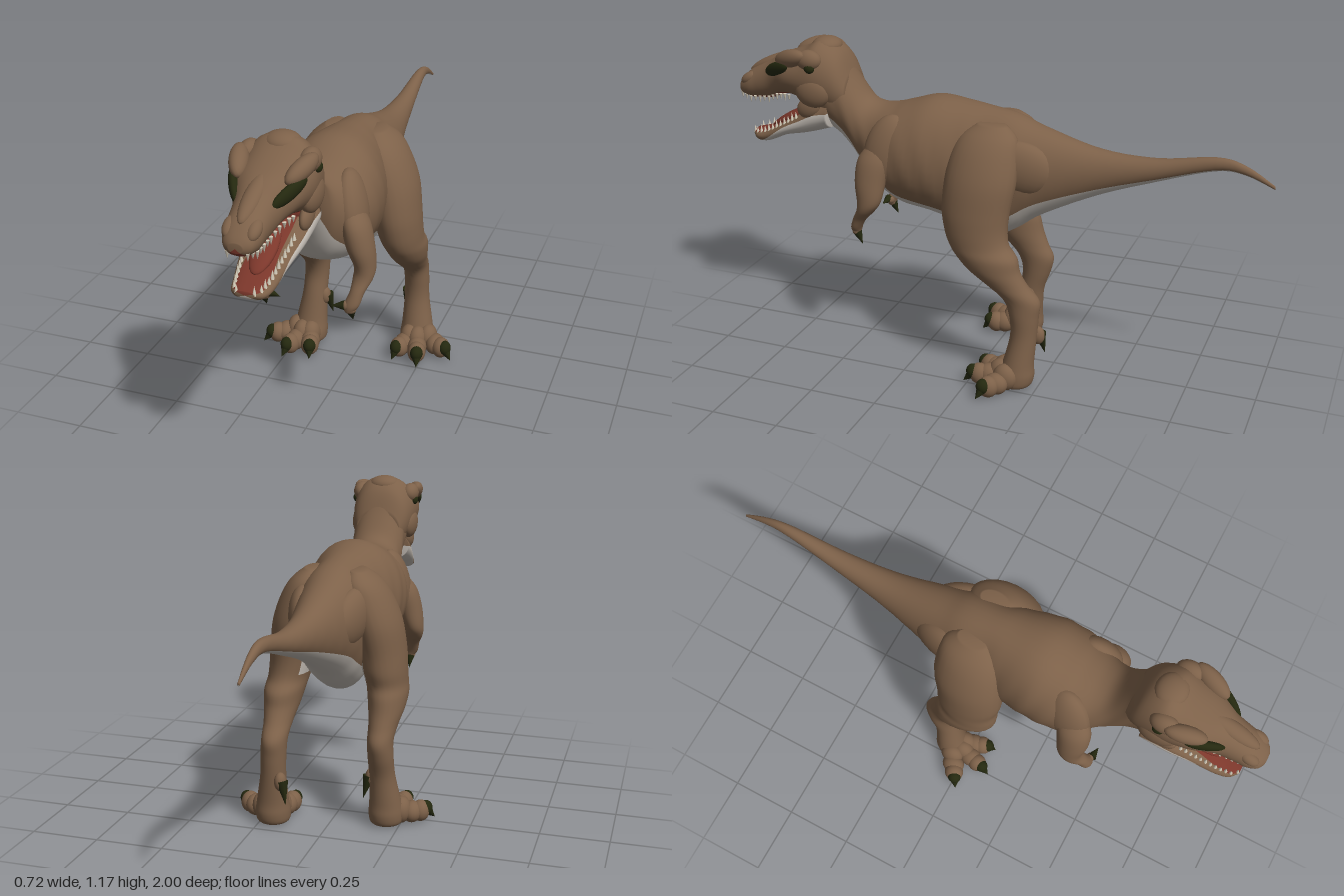
import * as THREE from 'three';

const mat = (name, color) => {
  const m = new THREE.MeshStandardMaterial({ color });
  m.name = name;
  return m;
};

// Smoothly resample a list of number rows
function resample(rows, sub = 5) {
  const out = [], row = i => rows[Math.max(0, Math.min(rows.length - 1, i))];
  for (let i = 0; i < rows.length - 1; i++) {
    for (let k = 0; k < sub; k++) {
      const t = k / sub, a = row(i - 1), b = row(i), c = row(i + 1), d = row(i + 2);
      out.push(b.map((v, n) => v + 0.5 * t * (c[n] - a[n] + t * (2 * a[n] - 5 * v + 4 * c[n] - d[n]
        + t * (3 * (v - c[n]) + d[n] - a[n])))));
    }
  }
  out.push(rows[rows.length - 1]);
  return out;
}

// Skin a list of closed rings; band(j, i) picks the material of each patch
function skin(rings, band) {
  const n = rings[0].length, pos = rings.flat(2), idx = [[], [], []];
  for (let i = 0; i < rings.length - 1; i++) {
    for (let j = 0; j < n; j++) {
      const a = i * n + j, b = i * n + (j + 1) % n;
      idx[band(j, i)].push(a, b, a + n, b, b + n, a + n);
    }
  }
  [0, rings.length - 1].forEach(i => {
    const c = pos.length / 3;
    for (let k = 0; k < 3; k++) pos.push(rings[i].reduce((s, p) => s + p[k], 0) / n);
    for (let j = 0; j < n; j++) {
      const a = i * n + j, b = i * n + (j + 1) % n;
      idx[band(j, i)].push(...(i ? [a, b, c] : [b, a, c]));
    }
  });
  const g = new THREE.BufferGeometry();
  g.setAttribute('position', new THREE.Float32BufferAttribute(pos, 3));
  g.setIndex(idx.flat());
  let start = 0;
  idx.forEach((list, m) => {
    if (list.length) g.addGroup(start, list.length, m);
    start += list.length;
  });
  g.computeVertexNormals();
  return g;
}

// Rows of [z, top, bottom, halfWidth, undersideAngle], painted in underside / side / top bands
function trunk(rows, mats, power, low, high, ripple = 0) {
  const N = 40;
  const rings = resample(rows).map(([z, top, bot, w, beta]) => {
    const B = beta * Math.PI / 180, cy = (top + bot) / 2, h = (top - bot) / 2;
    return Array.from({ length: N }, (_, j) => {
      const t = (j + 0.5) / N * 2 - 1, u = Math.abs(t);
      const f = Math.sign(t) * (u < low ? u / low * B : B + (u - low) / (1 - low) * (Math.PI - B));
      const s = Math.sin(f), r = 1 + ripple * Math.sin(z * 75 + 4 * Math.cos(f)) * s * s;
      return [w * r * Math.sign(s) * Math.abs(s) ** power, cy - h * Math.cos(f), z];
    });
  });
  const band = j => {
    const u = Math.abs((j + 1) / N * 2 - 1);
    return u < low ? 0 : u < high ? 1 : 2;
  };
  return new THREE.Mesh(skin(rings, band), mats);
}

// Limb of level rings, rows of [y, x, z, radiusX, radiusZ] from the bottom up; pale(y, sin) marks the inner skin
function limb(rows, mats, pale = () => false) {
  const all = resample(rows), angle = j => j / 24 * Math.PI * 2;
  const rings = all.map(([y, x, z, rx, rz]) => Array.from({ length: 24 }, (_, j) =>
    [x + rx * Math.sin(angle(j)), y, z + rz * Math.cos(angle(j))]));
  return new THREE.Mesh(skin(rings, (j, i) => pale(all[i][0], Math.sin(angle(j + 0.5))) ? 1 : 0), mats);
}

export function createModel() {
  const model = new THREE.Group();
  const hide = mat('brown hide', 0x7d6149), belly = mat('pale belly', 0xc2bbb3);
  const dark = mat('dark horn', 0x24280f), flesh = mat('mouth red', 0x7c372b);
  const ivory = mat('tooth ivory', 0xd6cdba);

  const add = (name, mesh, parent = model) => {
    mesh.name = name;
    parent.add(mesh);
    return mesh;
  };
  const blob = (name, p, r, m, parent, rot = [0, 0, 0]) => {
    const b = add(name, new THREE.Mesh(new THREE.SphereGeometry(1, 20, 14), m), parent);
    b.position.set(...p);
    b.scale.set(...r);
    b.rotation.set(...rot);
  };
  const spike = (name, from, to, r, m, parent, sides = 10) => {
    const a = new THREE.Vector3(...from), d = new THREE.Vector3(...to).sub(a);
    const c = add(name, new THREE.Mesh(new THREE.ConeGeometry(r, d.length(), sides), m), parent);
    c.position.copy(a).addScaledVector(d, 0.5);
    c.quaternion.setFromUnitVectors(new THREE.Vector3(0, 1, 0), d.normalize());
  };

  // Tail, torso and neck
  add('body', trunk([
    [-1, 0.812, 0.8, 0.004, 45], [-0.9, 0.87, 0.838, 0.012, 48], [-0.8, 0.888, 0.84, 0.02, 50],
    [-0.6, 0.858, 0.775, 0.038, 58], [-0.4, 0.866, 0.7, 0.064, 60], [-0.2, 0.92, 0.6, 0.108, 60],
    [-0.1, 0.957, 0.53, 0.132, 56], [0, 0.975, 0.482, 0.138, 54], [0.08, 0.985, 0.52, 0.155, 50],
    [0.2, 0.995, 0.56, 0.178, 45], [0.3, 0.968, 0.577, 0.178, 50], [0.36, 0.95, 0.6, 0.163, 55],
    [0.42, 0.945, 0.635, 0.13, 62], [0.47, 0.965, 0.69, 0.108, 62], [0.52, 1.03, 0.755, 0.1, 62],
    [0.57, 1.11, 0.805, 0.1, 60], [0.62, 1.14, 0.84, 0.1, 58], [0.65, 1.12, 0.87, 0.085, 55],
  ], [belly, hide], 0.95, 0.3, 2, 0.012));

  // Skull with red palate, and open lower jaw with red floor
  const skull = [
    [0.53, 1.04, 0.9, 0.085, 30], [0.57, 1.125, 0.885, 0.108, 30], [0.64, 1.165, 0.9, 0.122, 30],
    [0.7, 1.135, 0.925, 0.122, 32], [0.77, 1.108, 0.945, 0.11, 32], [0.82, 1.09, 0.935, 0.086, 32],
    [0.86, 1.068, 0.918, 0.071, 32], [0.91, 1.042, 0.912, 0.064, 32], [0.95, 1.018, 0.91, 0.06, 32],
    [0.985, 0.985, 0.92, 0.045, 32], [1, 0.965, 0.935, 0.022, 32],
  ];
  const jaw = [
    [0.6, 0.955, 0.84, 0.108, 95], [0.66, 0.93, 0.82, 0.105, 105], [0.72, 0.89, 0.803, 0.097, 108],
    [0.8, 0.843, 0.785, 0.082, 104], [0.88, 0.803, 0.75, 0.068, 66], [0.925, 0.79, 0.748, 0.055, 40],
    [0.95, 0.785, 0.765, 0.03, 35],
  ];
  const head = add('head', new THREE.Group());
  add('skull', trunk(skull, [flesh, hide], 0.88, 0.2, 2), head);
  add('lowerJaw', trunk(jaw, [belly, hide, flesh], 0.7, 0.4, 0.8), head);
  blob('tongue', [0, 0.852, 0.79], [0.04, 0.018, 0.1], flesh, head, [0.5, 0, 0]);
  blob('throat', [0, 0.925, 0.66], [0.08, 0.04, 0.03], flesh, head);
  blob('noseRidge', [0, 1.052, 0.86], [0.03, 0.025, 0.11], hide, head, [0.4, 0, 0]);
  blob('crest', [0, 1.135, 0.635], [0.06, 0.034, 0.055], hide, head);

  // Teeth follow the edges of both jaws
  const edge = (rows, z) => {
    const i = rows.findIndex((r, k) => k && r[0] >= z), a = rows[i - 1], b = rows[i];
    return a.map((v, n) => v + (b[n] - v) * (z - a[0]) / (b[0] - a[0]));
  };
  const teeth = add('teeth', new THREE.Group(), head);
  for (const s of [-1, 1]) {
    for (let k = 0; k < 12; k++) {
      const [zu, , yu, wu] = edge(skull, 0.76 + k * 0.0205);
      const len = 0.016 + 0.006 * (k % 2);
      spike('upperTooth', [s * wu * 0.72, yu + 0.014, zu], [s * wu * 0.72, yu - len + 0.008, zu], 0.007, ivory, teeth, 6);
      const [zl, yl, , wl] = edge(jaw, 0.74 + k * 0.0185);
      spike('lowerTooth', [s * wl * 0.78, yl - 0.012, zl], [s * wl * 0.8, yl + len - 0.002, zl], 0.007, ivory, teeth, 6);
    }
  }

  for (const s of [-1, 1]) {
    const side = s > 0 ? 'left' : 'right', at = (x, y, z) => [s * x, y, z];

    // Brow horn, cheek, jaw muscle, eye and ear
    blob(side + 'Brow', at(0.1, 1.1, 0.735), [0.03, 0.034, 0.075], hide, head, [0.3, -s * 0.3, -s * 0.4]);
    blob(side + 'BackHorn', at(0.098, 1.1, 0.66), [0.033, 0.038, 0.05], hide, head);
    blob(side + 'Cheek', at(0.098, 0.985, 0.65), [0.032, 0.06, 0.07], hide, head);
    blob(side + 'JawMuscle', at(0.09, 0.92, 0.675), [0.02, 0.038, 0.05], hide, head, [0.5, 0, 0]);
    blob(side + 'EyePatch', at(0.087, 1.05, 0.803), [0.017, 0.026, 0.074], dark, head, [0.42, -s * 0.45, 0]);
    blob(side + 'Ear', at(0.118, 1.075, 0.65), [0.014, 0.018, 0.02], dark, head);
    blob(side + 'Nostril', at(0.038, 0.99, 0.945), [0.022, 0.022, 0.04], hide, head, [0.5, 0, 0]);

    // Shoulder and arm
    const arm = add(side + 'Arm', new THREE.Group());
    blob('shoulder', at(0.12, 0.81, 0.35), [0.052, 0.13, 0.085], hide, arm, [-0.25, 0, s * 0.2]);
    add('armLimb', limb([
      [0.485, s * 0.15, 0.468, 0.015, 0.015], [0.51, s * 0.158, 0.465, 0.026, 0.02],
      [0.55, s * 0.17, 0.445, 0.025, 0.025], [0.59, s * 0.18, 0.415, 0.034, 0.034],
      [0.63, s * 0.182, 0.4, 0.037, 0.045], [0.7, s * 0.165, 0.4, 0.047, 0.058],
      [0.78, s * 0.145, 0.39, 0.045, 0.06], [0.84, s * 0.122, 0.375, 0.02, 0.03],
    ], [hide]), arm);
    [[[0.135, 0.508, 0.474], [0.09, 0.502, 0.48]], [[0.155, 0.488, 0.465], [0.156, 0.442, 0.445]]].forEach(([p, q]) => {
      blob('finger', at((p[0] + 0.15) / 2, (p[1] + 0.5) / 2, 0.468), [0.022, 0.018, 0.016], hide, arm);
      spike('fingerClaw', at(...p), at(...q), 0.017, dark, arm);
    });

    // Leg with pale inner thigh: the left foot is set behind the right one
    const d = -s * 0.05, leg = add(side + 'Leg', new THREE.Group());
    blob('hipMuscle', at(0.085, 0.79, -0.14), [0.055, 0.1, 0.13], hide, leg, [-0.3, s * 0.2, 0]);
    add('legLimb', limb([
      [0.004, s * 0.2, -0.12 + d, 0.03, 0.03], [0.015, s * 0.2, -0.12 + d, 0.058, 0.058],
      [0.05, s * 0.2, -0.122 + d, 0.064, 0.066],
      [0.1, s * 0.198, -0.13 + d, 0.058, 0.056], [0.2, s * 0.19, -0.145 + d, 0.047, 0.048],
      [0.28, s * 0.188, -0.155 + d * 0.8, 0.046, 0.054], [0.34, s * 0.186, -0.148 + d * 0.7, 0.046, 0.068],
      [0.39, s * 0.188, -0.105 + d * 0.5, 0.052, 0.078], [0.44, s * 0.19, -0.062 + d * 0.4, 0.064, 0.096],
      [0.49, s * 0.188, -0.032 + d * 0.4, 0.072, 0.114], [0.53, s * 0.182, -0.012 + d * 0.2, 0.074, 0.112],
      [0.58, s * 0.174, -0.008, 0.08, 0.116], [0.65, s * 0.165, -0.005, 0.084, 0.124],
      [0.75, s * 0.147, -0.015, 0.087, 0.13], [0.84, s * 0.118, -0.022, 0.082, 0.122],
      [0.9, s * 0.096, -0.03, 0.064, 0.1], [0.94, s * 0.08, -0.035, 0.03, 0.05],
    ], [hide, belly], (y, sin) => y > 0.54 && y < 0.7 && s * sin < -0.62), leg);

    // Three toes with knuckles and claws, outermost first
    [[0.355, -0.03], [0.25, 0.055], [0.15, 0.035]].forEach(([tx, tz]) => {
      const on = (t, y) => at(0.2 + (tx - 0.2) * t, y, -0.13 + (tz + 0.13) * t + d);
      blob('toeBase', on(0.32, 0.055), [0.037, 0.05, 0.046], hide, leg);
      blob('toeKnuckle', on(0.55, 0.042), [0.036, 0.04, 0.044], hide, leg);
      blob('toeEnd', on(0.73, 0.042), [0.034, 0.04, 0.037], hide, leg);
      blob('clawRoot', on(0.85, 0.05), [0.024, 0.028, 0.026], dark, leg);
      spike('toeClaw', on(0.84, 0.048), on(1.04, 0.01), 0.026, dark, leg);
    });
    const e = d * 1.4;
    blob('innerToe', at(0.15, 0.19, -0.165 + e), [0.022, 0.035, 0.026], hide, leg);
    spike('innerClaw', at(0.142, 0.195, -0.17 + e), at(0.124, 0.11, -0.185 + e), 0.023, dark, leg);
  }
  return model;
}
